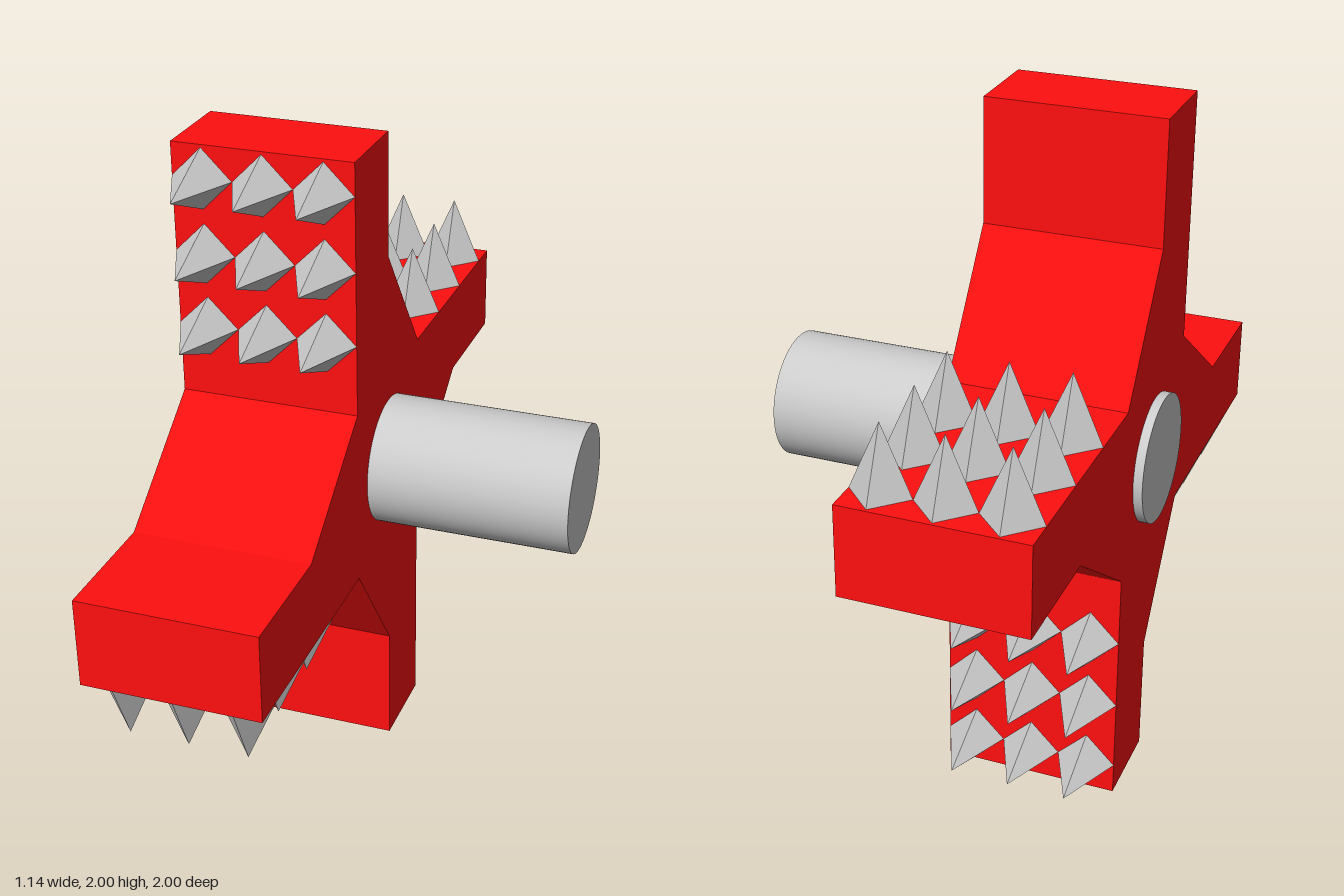
import * as THREE from 'three';

export function createModel() {
  const model = new THREE.Group();
  const red = new THREE.MeshStandardMaterial({ color: 0xff0f0f, flatShading: true });
  const grey = new THREE.MeshStandardMaterial({ color: 0xcccccc });
  const spikeGrey = new THREE.MeshStandardMaterial({ color: 0xcccccc, flatShading: true });

  const arm = 0.265;     // arm thickness
  const brace = 0.635;   // where the sloping brace meets an arm
  const rotor = new THREE.Group();
  rotor.name = 'rotor';
  rotor.position.y = 1;
  model.add(rotor);

  // Four-armed body: one quarter outline turned four times
  const quarter = [[0, brace], [0, 1], [arm, 1], [arm, arm]];
  const outline = [];
  for (let i = 0; i < 4; i++) {
    for (let [a, b] of quarter) {
      for (let k = 0; k < i; k++) [a, b] = [b, -a];
      outline.push(new THREE.Vector2(a, b));
    }
  }
  const bodyGeo = new THREE.ExtrudeGeometry(new THREE.Shape(outline), { depth: 0.522, bevelEnabled: false });
  bodyGeo.rotateY(-Math.PI / 2).translate(-0.021, 0, 0);
  const body = new THREE.Mesh(bodyGeo, red);
  body.name = 'crossBody';
  rotor.add(body);

  // Axle through the hub
  const axle = new THREE.Mesh(new THREE.CylinderGeometry(0.19, 0.19, 1.14, 64).rotateZ(Math.PI / 2), grey);
  axle.name = 'axle';
  rotor.add(axle);

  // Three by three four-sided spikes on the leading face of each arm
  const spikeGeo = new THREE.ConeGeometry(0.087, 0.2, 4, 1, true).rotateX(Math.PI / 2);
  for (let i = 0; i < 4; i++) {
    const spikes = new THREE.Group();
    spikes.name = 'armSpikes';
    spikes.rotation.x = i * Math.PI / 2;
    for (const y of [0.475, 0.69, 0.905]) {
      for (const x of [-0.456, -0.282, -0.108]) {
        const spike = new THREE.Mesh(spikeGeo, spikeGrey);
        spike.name = 'spike';
        spike.position.set(x, y, arm + 0.1);
        spikes.add(spike);
      }
    }
    rotor.add(spikes);
  }
  return model;
}
